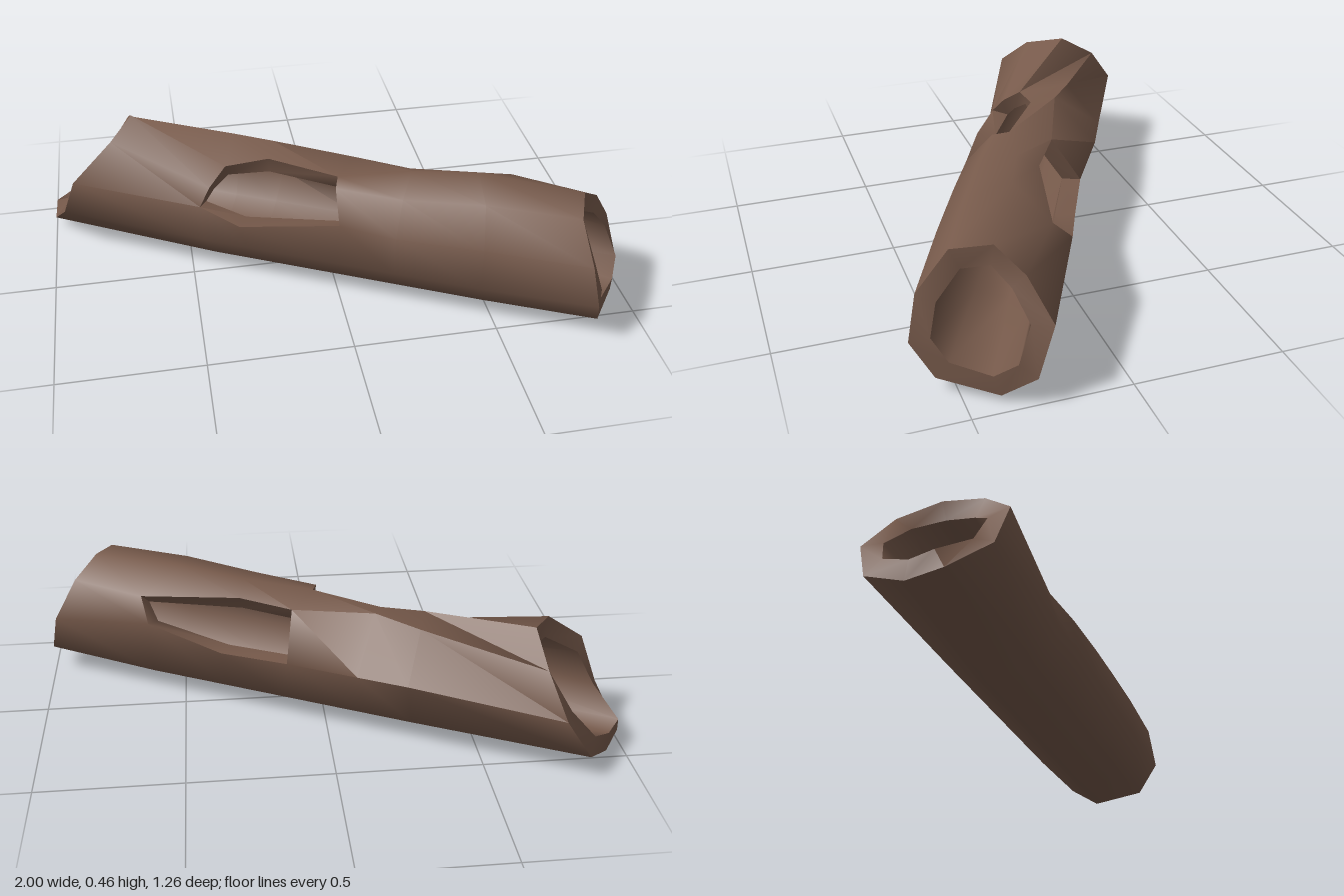
import * as THREE from 'three';
import { toCreasedNormals } from 'three/addons/utils/BufferGeometryUtils.js';

// Log axis direction on the ground
const AX = 0.895, AZ = 0.446;
const MID = 0.235;   // height of the tunnel's centre
const BORE = 0.68;   // tunnel size relative to the bark

// Cross-sections along the log: nine points [along, across, height],
// starting on top and going round by the front
const lower = (s) => [[s, 0.217, 0.16], [s, 0.12, 0.033], [s, -0.045, 0.006], [s, -0.175, 0.083]];
const rings = [
  // slanted left end
  [[-0.774, -0.05, 0.465], [-0.79, 0.1, 0.435], [-0.895, 0.222, 0.315], [-0.962, 0.2, 0.16],
    [-1.069, 0.097, 0.04], [-1.05, -0.03, 0.03], [-1.015, -0.176, 0.09], [-0.934, -0.238, 0.245], [-0.847, -0.17, 0.38]],
  // front window: start, middle, end (the end also starts the back window)
  [[-0.362, 0.07, 0.39], [-0.4, 0.14, 0.335], [-0.42, 0.187, 0.28], ...lower(-0.4), [-0.4, -0.236, 0.26], [-0.4, -0.11, 0.415]],
  [[-0.219, 0.009, 0.41], [-0.24, 0.13, 0.34], [-0.26, 0.222, 0.25], ...lower(-0.24), [-0.22, -0.236, 0.26], [-0.23, -0.08, 0.43]],
  [[0.05, 0.05, 0.41], [0.06, 0.11, 0.4], [0.098, 0.197, 0.31], ...lower(0.08), [0.05, -0.205, 0.24], [0.07, -0.103, 0.4]],
  // back window: middle, end
  [[0.3, -0.01, 0.44], [0.3, 0.12, 0.405], [0.3, 0.205, 0.3], ...lower(0.3), [0.3, -0.21, 0.235], [0.28, -0.085, 0.4]],
  [[0.53, -0.03, 0.463], [0.58, 0.11, 0.43], [0.6, 0.2, 0.31], ...lower(0.6), [0.577, -0.227, 0.31], [0.63, -0.17, 0.385]],
  // slanted right end
  [[0.89, -0.03, 0.45], [0.9, 0.1, 0.43], [0.96, 0.19, 0.31], [0.997, 0.207, 0.165],
    [1.0, 0.13, 0.05], [1.03, -0.07, 0.03], [1.03, -0.178, 0.1], [0.975, -0.218, 0.25], [0.93, -0.13, 0.38]],
];
const SIDES = 9;

// Cells left open: the two windows, and everything beyond the ends
function isOpen(i, j) {
  if (i < 0 || i >= rings.length - 1) return true;
  const front = (i === 1 || i === 2) && j < 2;
  const back = (i === 3 || i === 4) && j === 7;
  return front || back;
}

function point([i, j], k) {
  const [s, n, y] = rings[i][(j + SIDES) % SIDES];
  return [s * AX - n * k * AZ, MID + (y - MID) * k, s * AZ + n * k * AX];
}

function hollowLogGeometry() {
  const positions = [];
  const quad = (a, b, c, d) => positions.push(...a, ...b, ...c, ...a, ...c, ...d);
  for (let i = 0; i < rings.length - 1; i++) {
    for (let j = 0; j < SIDES; j++) {
      if (isOpen(i, j)) continue;
      const corners = [[i, j], [i, j + 1], [i + 1, j + 1], [i + 1, j]];
      const outer = corners.map((c) => point(c, 1));
      const inner = corners.map((c) => point(c, BORE));
      quad(...outer);
      quad(...[...inner].reverse());
      // Rim walls wherever the neighbouring cell is open
      const neighbours = [[i - 1, j], [i, (j + 1) % SIDES], [i + 1, j], [i, (j + SIDES - 1) % SIDES]];
      neighbours.forEach(([ni, nj], e) => {
        const f = (e + 1) % 4;
        if (isOpen(ni, nj)) quad(outer[f], outer[e], inner[e], inner[f]);
      });
    }
  }
  const geometry = new THREE.BufferGeometry();
  geometry.setAttribute('position', new THREE.Float32BufferAttribute(positions, 3));
  return toCreasedNormals(geometry, 0.95);
}

export function createModel() {
  const group = new THREE.Group();
  group.name = 'hollowLog';
  const bark = new THREE.MeshStandardMaterial({ color: 0x775a4b });
  bark.name = 'barkBrown';

  // Bark, tunnel and rims in one closed shell
  const log = new THREE.Mesh(hollowLogGeometry(), bark);
  log.name = 'logShell';
  group.add(log);
  return group;
}
